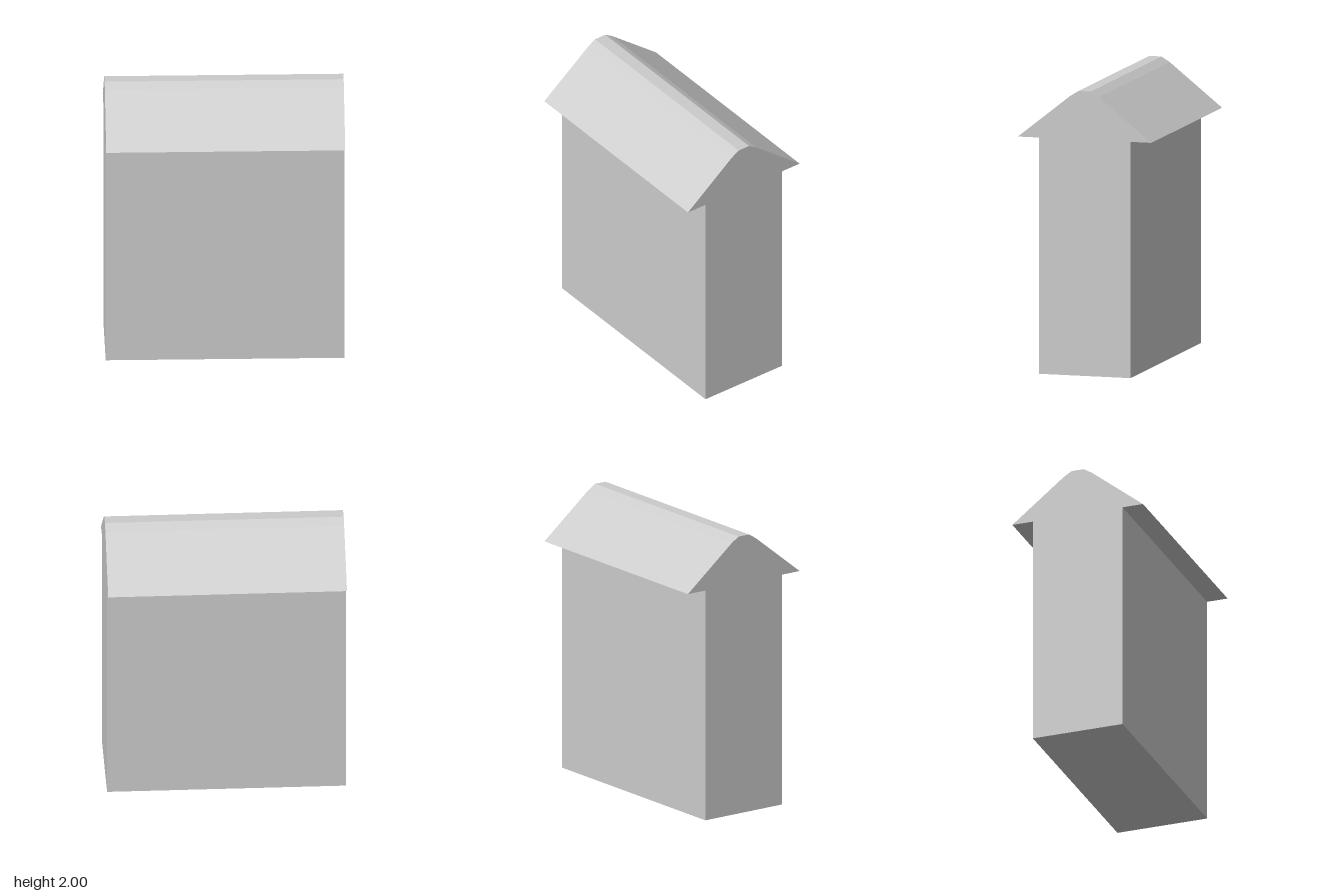
import * as THREE from 'three';

const LENGTH = 1.66; // along x
const EAVE = 1.66; // height where the walls meet the roof

// Extrudes a front-to-back half outline of [z, y] points, mirrored in z, along x
function prism(name, half, material) {
  const mirrored = half.map(([z, y]) => [-z, y]).reverse();
  const shape = new THREE.Shape([...half, ...mirrored].map(([z, y]) => new THREE.Vector2(z, y)));
  const geometry = new THREE.ExtrudeGeometry(shape, { depth: LENGTH, bevelEnabled: false });
  geometry.rotateY(-Math.PI / 2).translate(LENGTH / 2, 0, 0);
  const mesh = new THREE.Mesh(geometry, material);
  mesh.name = name;
  return mesh;
}

export function createModel() {
  const group = new THREE.Group();
  group.name = 'house';
  const material = new THREE.MeshStandardMaterial({ color: 0xcccccc, flatShading: true });

  // Tall narrow block of walls
  group.add(prism('walls', [[0.333, 0], [0.333, EAVE]], material));

  // Overhanging gable roof with a chamfered, flat-topped ridge
  group.add(prism('roof', [[0.485, EAVE], [0.105, 1.963], [0.045, 2]], material));

  return group;
}
